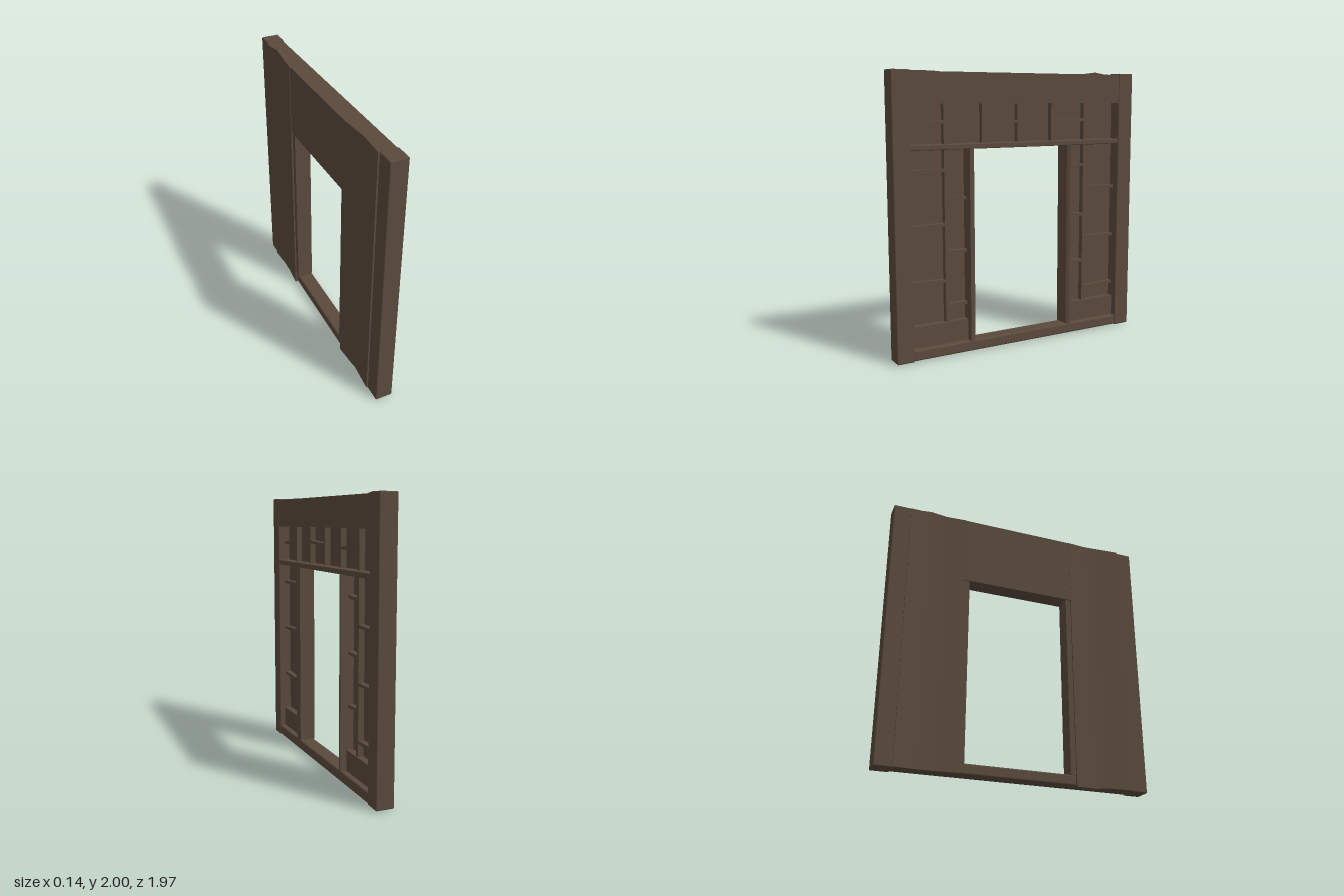
import * as THREE from 'three';
import { RoundedBoxGeometry } from 'three/addons/geometries/RoundedBoxGeometry.js';

export function createModel() {
  const group = new THREE.Group();
  const wood = new THREE.MeshStandardMaterial({ color: 0x5a4a3c });
  wood.name = 'dark wood';

  const add = (name, geometry) => {
    const mesh = new THREE.Mesh(geometry, wood);
    mesh.name = name;
    group.add(mesh);
    return mesh;
  };
  const box = (name, x0, x1, y0, y1, z0, z1, radius = 0) => {
    const s = [x1 - x0, y1 - y0, z1 - z0];
    const geometry = radius ? new RoundedBoxGeometry(...s, 2, radius) : new THREE.BoxGeometry(...s);
    const mesh = add(name, geometry);
    mesh.position.set((x0 + x1) / 2, (y0 + y1) / 2, (z0 + z1) / 2);
    return mesh;
  };

  // Main frame: beams, lintel and sill between two posts
  box('topBeam', -0.055, 0.062, 1.77, 1.982, -0.86, 0.86);
  box('lintel', -0.035, 0.062, 1.46, 1.497, -0.86, 0.86, 0.006);
  box('sill', -0.055, 0.062, 0.012, 0.088, -0.86, 0.86, 0.012);

  for (const s of [1, -1]) {
    const zBox = (name, x0, x1, y0, y1, a, b, r) =>
      box(name, x0, x1, y0, y1, Math.min(a * s, b * s), Math.max(a * s, b * s), r);
    zBox('post', -0.062, 0.066, 0.008, 1.992, 0.857, 0.985, 0.008);
    zBox('baseBoard', -0.04, 0.02, 0.08, 0.24, 0.42, 0.86);
    zBox('stud', -0.04, 0.012, 0.24, 1.77, 0.565, 0.595);

    // Door jamb with a chamfer on the edge facing the opening
    const profile = [[-0.062, 0.387], [0.056, 0.387], [0.07, 0.408], [0.07, 0.427], [-0.062, 0.427]];
    const shape = new THREE.Shape(profile.map(([x, z]) => new THREE.Vector2(x, -z * s)));
    const jamb = new THREE.ExtrudeGeometry(shape, { depth: 1.376, bevelEnabled: false });
    jamb.rotateX(-Math.PI / 2);
    add('doorJamb', jamb).position.y = 0.086;
  }

  // Short studs above the doorway
  for (const z of [0.287, 0, -0.287])
    box('shortStud', -0.04, 0.012, 1.495, 1.77, z - 0.013, z + 0.013);

  // Slightly tilted rails: z at both ends, then centre height at each end
  const rails = [
    [0.86, 0.595, 1.637, 1.647], [0.86, 0.595, 1.315, 1.316], [0.86, 0.595, 0.93, 0.938],
    [0.86, 0.595, 0.545, 0.535], [0.565, 0.427, 1.125, 1.115], [0.565, 0.427, 0.74, 0.74],
    [0.565, 0.427, 0.355, 0.358], [0.28, 0.01, 1.66, 1.643], [-0.30, -0.565, 1.632, 1.646],
    [-0.427, -0.565, 1.312, 1.305], [-0.427, -0.565, 0.928, 0.921], [-0.427, -0.565, 0.552, 0.56],
    [-0.595, -0.86, 1.13, 1.122], [-0.595, -0.86, 0.74, 0.74], [-0.595, -0.86, 0.342, 0.352],
  ];
  for (const [za, zb, ya, yb] of rails) {
    const rail = box('rail', -0.04, 0.012, -0.011, 0.011, zb, za);
    rail.position.y = (ya + yb) / 2;
    rail.rotation.x = -Math.atan2(ya - yb, za - zb);
  }

  // Back boards, extruded across z with an uneven back face: [z, back x, bottom y, top y]
  const board = (name, y0, sections) => {
    const geometry = new THREE.BoxGeometry(1, 1, 1, 1, 1, sections.length - 1).toNonIndexed();
    const p = geometry.attributes.position;
    for (let i = 0; i < p.count; i++) {
      const k = Math.round((p.getZ(i) + 0.5) * (sections.length - 1));
      const [z, x, low, top] = sections[k];
      p.setXYZ(i, p.getX(i) > 0 ? -0.03 : x, p.getY(i) > 0 ? top : y0 + low, z);
    }
    geometry.computeVertexNormals();
    add(name, geometry);
  };
  board('rightBackBoard', 0.012, [
    [-0.86, -0.07, 0, 1.985], [-0.78, -0.064, 0, 1.988], [-0.7, -0.058, 0, 2],
    [-0.58, -0.06, 0, 1.985], [-0.427, -0.074, 0, 1.982],
  ]);
  board('middleBackBoard', 1.462, [[-0.43, -0.07, 0, 1.982], [0.43, -0.07, 0, 1.982]]);
  board('leftBackBoard', 0.002, [
    [0.427, -0.072, 0, 1.982], [0.58, -0.06, 0, 1.984], [0.65, -0.058, 0.012, 1.99],
    [0.86, -0.072, 0.012, 1.992],
  ]);
  return group;
}
